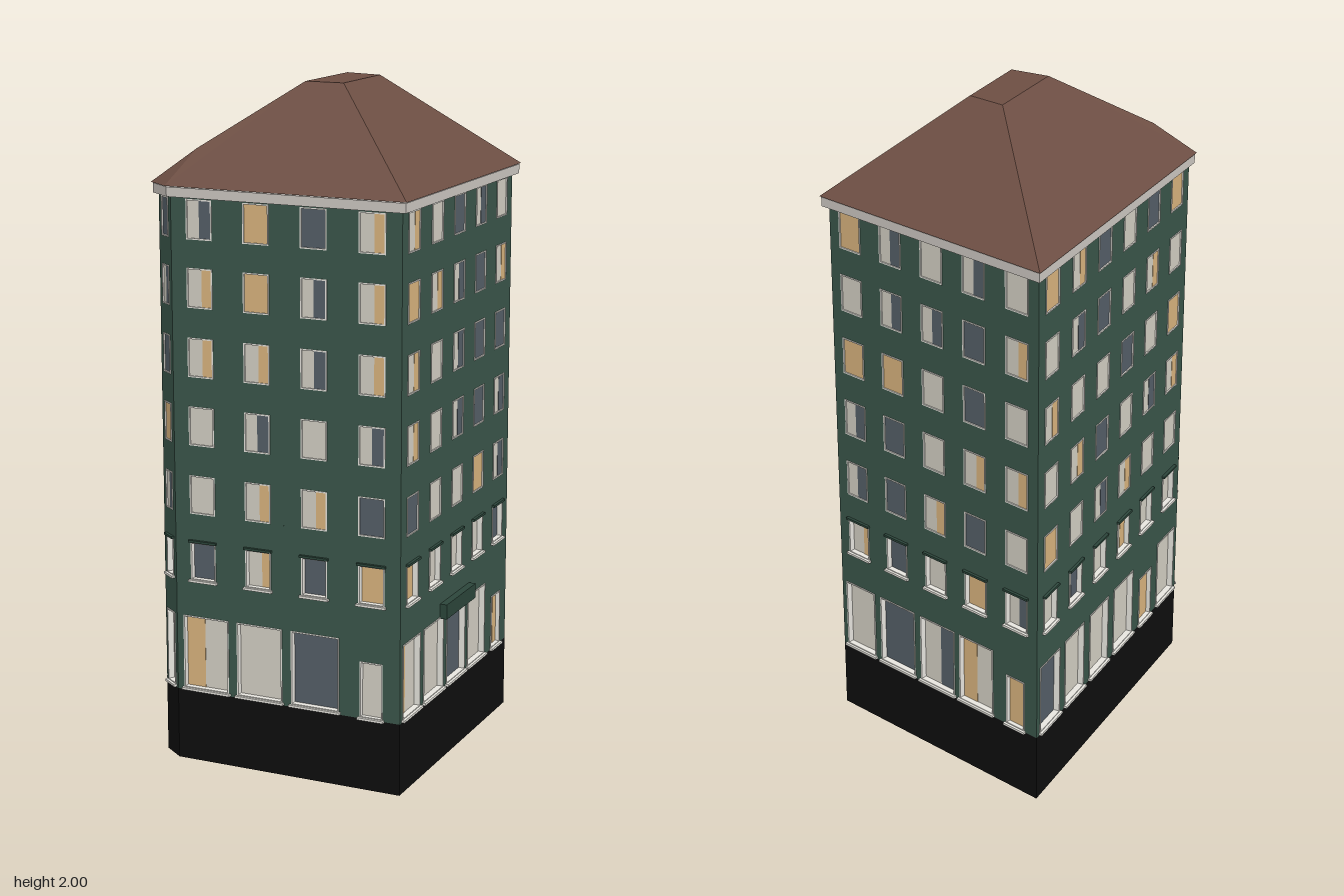
import * as THREE from 'three';

const mat = (name, color, side = THREE.FrontSide) => {
  const m = new THREE.MeshStandardMaterial({ color, side });
  m.name = name;
  return m;
};
const M = {
  wall: mat('green plaster', 0x3b574b, THREE.DoubleSide),
  base: mat('black plinth', 0x0e0e0e, THREE.DoubleSide),
  roof: mat('brown roof', 0x6d4e43),
  cornice: mat('pale cornice', 0xcfcac4),
  cream: mat('cream blind', 0xd6d2c6),
  yellow: mat('yellow curtain', 0xdcb67f),
  slate: mat('slate glass', 0x566069),
  frame: mat('white frame', 0xefede6),
  sign: mat('dark green sign', 0x2c463b),
};

// Footprint corners [x, z]
const A = [-0.105, -0.63], B = [0.515, -0.13], C = [0.165, 0.635], D = [-0.487, 0.33], E = [-0.525, 0.26];
const EAVES = [[-0.108, -0.66], [0.542, -0.135], [0.175, 0.655], [-0.503, 0.342], [-0.547, 0.26]];
const BASE_TOP = 0.217, WALL_TOP = 1.71;
const ROWS = [1.632, 1.434, 1.231, 1.028, 0.822, 0.62];

// Shop openings are [start, end] fractions of the facade
// W cream, Y yellow, S glass, A yellow left, B yellow right, C glass right
const FIVE = { shops: [[0.022, 0.175], [0.205, 0.385], [0.415, 0.59], [0.615, 0.785]], door: [0.85, 0.94] };
const FACADES = [
  { name: 'frontFacade', from: D, to: C, width: 0.082,
    rows: ['CYSB', 'BYCB', 'BBCB', 'WCWC', 'WBBS', 'SBSY'],
    shops: [[0.03, 0.237], [0.275, 0.48], [0.52, 0.733]], door: [0.825, 0.925], ground: 'AWSW' },
  { name: 'leftFacade', from: C, to: B, width: 0.084, ...FIVE, sign: 0.49,
    rows: ['BWSCW', 'YBCSB', 'BWCSS', 'BWCSC', 'SWWYC', 'YWWWC'], ground: 'AWSWB' },
  { name: 'backFacade', from: B, to: A, width: 0.084, ...FIVE,
    rows: ['YCWCW', 'WCCSB', 'YYWSW', 'CSWBB', 'CSBSW', 'BSWYC'], ground: 'WSCAY' },
  { name: 'rightFacade', from: A, to: E, width: 0.084,
    rows: ['YBSWSY', 'WCSWBW', 'BWWSWY', 'WBSWCB', 'YWCBWW', 'WCWBWW'],
    shops: [[0.02, 0.15], [0.185, 0.315], [0.355, 0.485], [0.525, 0.665], [0.85, 0.98]], door: [0.715, 0.805], ground: 'SWWWWY' },
  { name: 'cornerFacade', from: E, to: D, width: 0.045,
    rows: ['S', 'C', 'S', 'Y', 'C', 'W'], shops: [[0.15, 0.82]], ground: 'W' },
];

function add(group, name, geometry, material, x = 0, y = 0, z = 0) {
  const mesh = new THREE.Mesh(geometry, material);
  mesh.name = name;
  mesh.position.set(x, y, z);
  group.add(mesh);
  return mesh;
}

function rectPath(Type, x0, y0, x1, y1) {
  const p = new Type();
  p.moveTo(x0, y0);
  p.lineTo(x1, y0);
  p.lineTo(x1, y1);
  p.lineTo(x0, y1);
  p.closePath();
  return p;
}

// Window: frame lining the opening, a pane at its back, coloured panel over the pane
function addWindow(group, { x0, x1, y0, y1, code, depth, name }) {
  const w = x1 - x0, h = y1 - y0, t = 0.004;
  const cx = (x0 + x1) / 2, cy = (y0 + y1) / 2;
  const ring = rectPath(THREE.Shape, x0, y0, x1, y1);
  ring.holes.push(rectPath(THREE.Path, x0 + t, y0 + t, x1 - t, y1 - t));
  add(group, name + 'Frame', new THREE.ExtrudeGeometry(ring, { depth: depth + 0.002, bevelEnabled: false }), M.frame, 0, 0, -depth);
  const iw = w - 2 * t, ih = h - 2 * t;
  const full = { W: M.cream, Y: M.yellow, S: M.slate }[code];
  add(group, name + 'Pane', new THREE.BoxGeometry(iw, ih, 0.002), full || M.cream, cx, cy, -depth + 0.002);
  if (!full) {
    const pw = iw * (code === 'C' ? 0.5 : 0.42);
    const px = code === 'A' ? x0 + t + pw / 2 : x1 - t - pw / 2;
    add(group, name + 'Panel', new THREE.BoxGeometry(pw, ih, 0.004), code === 'C' ? M.slate : M.yellow, px, cy, -depth + 0.002);
  }
}

function makeFacade(f) {
  const g = new THREE.Group();
  g.name = f.name;
  const dx = f.to[0] - f.from[0], dz = f.to[1] - f.from[1], L = Math.hypot(dx, dz);
  g.position.set(f.from[0], 0, f.from[1]);
  g.rotation.y = Math.atan2(-dz, dx);

  const openings = [];
  f.rows.forEach((row, r) => [...row].forEach((code, i) => {
    const c = (i + 0.5) / row.length * L, first = r === 5;
    openings.push({ x0: c - f.width / 2, x1: c + f.width / 2, y0: ROWS[r] - 0.058, y1: ROWS[r] + 0.058,
      code, depth: first ? 0.018 : 0.005, name: 'window', sill: first });
  }));
  f.shops.forEach(([a, b], i) => openings.push({ x0: a * L, x1: b * L, y0: 0.224, y1: 0.45,
    code: f.ground[i], depth: 0.02, name: 'shopWindow', sill: true }));
  if (f.door) openings.push({ x0: f.door[0] * L, x1: f.door[1] * L, y0: 0.22, y1: 0.39,
    code: f.ground[f.shops.length], depth: 0.015, name: 'door', sill: true });

  // Plaster wall with openings, plinth below
  const shape = rectPath(THREE.Shape, 0, BASE_TOP, L, WALL_TOP);
  for (const o of openings) shape.holes.push(rectPath(THREE.Path, o.x0, o.y0, o.x1, o.y1));
  add(g, 'wall', new THREE.ShapeGeometry(shape), M.wall);
  add(g, 'plinth', new THREE.PlaneGeometry(L, BASE_TOP), M.base, L / 2, BASE_TOP / 2);

  for (const o of openings) {
    addWindow(g, o);
    const c = (o.x0 + o.x1) / 2, w = o.x1 - o.x0;
    if (o.sill) add(g, 'sill', new THREE.BoxGeometry(w + 0.01, 0.007, 0.012), M.frame, c, o.y0 - 0.002, 0.004);
    if (o.sill && o.name === 'window') add(g, 'lintel', new THREE.BoxGeometry(w + 0.008, 0.007, 0.01), M.sign, c, o.y1 + 0.003, 0.004);
  }
  // Blank sign board
  if (f.sign) add(g, 'signBoard', new THREE.BoxGeometry(0.23, 0.045, 0.022), M.sign, f.sign * L, 0.468, 0.011);
  return g;
}

// Hipped roof with a small flat top and a clipped corner
function makeRoof() {
  const y = 1.725;
  const [a, b, c, d, e] = EAVES.map(([x, z]) => [x, y, z]);
  const p1 = [0.017, 2, -0.112], p2 = [0.113, 2, -0.037], p3 = [0.005, 2, 0.195], p4 = [-0.105, 2, 0.142];
  const k = [-0.415, 1.82, 0.252];
  const faces = [[b, a, p1, p2], [c, b, p2, p3], [p4, k, d, c, p3], [e, d, k], [p4, p1, a, e, k],
    [p2, p1, p4, p3], [a, b, c, d, e]];
  const pos = [];
  for (const f of faces) for (let i = 1; i < f.length - 1; i++) pos.push(...f[0], ...f[i], ...f[i + 1]);
  const geo = new THREE.BufferGeometry();
  geo.setAttribute('position', new THREE.Float32BufferAttribute(pos, 3));
  geo.computeVertexNormals();
  return geo;
}

export function createModel() {
  const model = new THREE.Group();
  model.name = 'cornerBuilding';
  for (const f of FACADES) model.add(makeFacade(f));

  // Cornice band under the eaves
  const outline = new THREE.Shape(EAVES.map(([x, z]) => new THREE.Vector2(x * 0.99, -z * 0.99)));
  const band = new THREE.ExtrudeGeometry(outline, { depth: 0.028, bevelEnabled: false });
  band.rotateX(-Math.PI / 2);
  add(model, 'cornice', band, M.cornice, 0, 1.694, 0);
  add(model, 'roof', makeRoof(), M.roof);
  return model;
}
